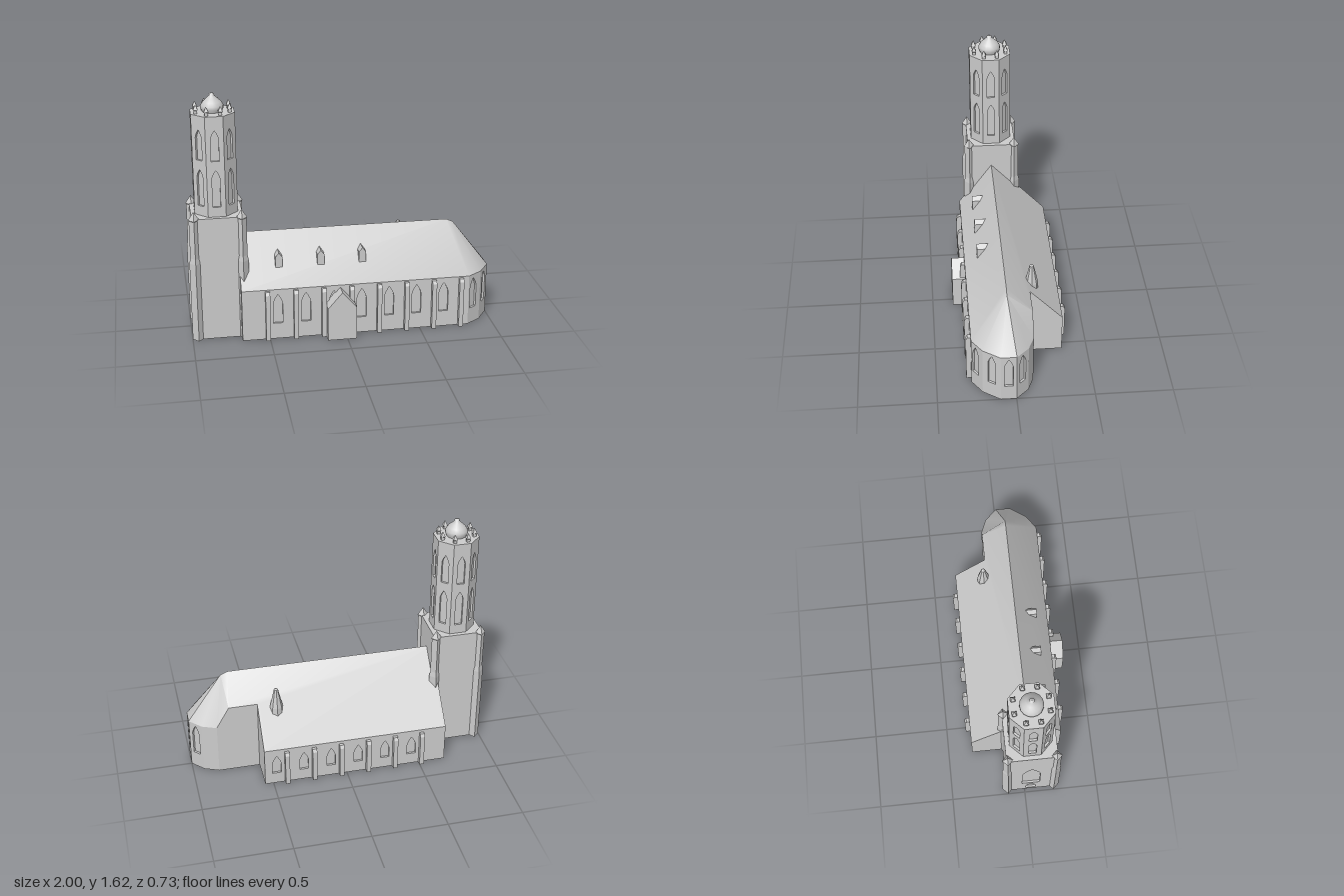
import * as THREE from 'three';
import { toCreasedNormals } from 'three/addons/utils/BufferGeometryUtils.js';

const stone = new THREE.MeshStandardMaterial({ color: 0xcccccc });
stone.name = 'pale stone';

function add(parent, name, geometry, x = 0, y = 0, z = 0, rotY = 0) {
  const mesh = new THREE.Mesh(geometry, stone);
  mesh.name = name;
  mesh.position.set(x, y, z);
  mesh.rotation.y = rotY;
  parent.add(mesh);
  return mesh;
}

function polygon(points) {
  return new THREE.Shape(points.map(([x, y]) => new THREE.Vector2(x, y)));
}

function extrude(shape, depth) {
  return new THREE.ExtrudeGeometry(shape, { depth, bevelEnabled: false, curveSegments: 4 });
}

// Faceted turned form from [radius, height] points
function faceted(profile, sides) {
  const g = new THREE.LatheGeometry(profile.map(([r, y]) => new THREE.Vector2(r, y)), sides).toNonIndexed();
  g.computeVertexNormals();
  return g;
}

// Pointed window opening
function lancet(x, width, y0, y1) {
  const w = width / 2, spring = y1 - width * 1.1;
  const p = new THREE.Path();
  p.moveTo(x - w, y0);
  p.lineTo(x + w, y0);
  p.lineTo(x + w, spring);
  p.quadraticCurveTo(x + w * 0.85, spring + width * 0.5, x, y1);
  p.quadraticCurveTo(x - w * 0.85, spring + width * 0.5, x - w, spring);
  p.closePath();
  return p;
}

// Wall from a to b ([x, z, top]) with recessed windows [along, width, y0, y1]
function wall(parent, name, a, b, base, windows = []) {
  const thick = 0.016;
  const dx = b[0] - a[0], dz = b[1] - a[1], len = Math.hypot(dx, dz);
  const g = new THREE.Group();
  g.name = name;
  g.position.set(a[0], 0, a[1]);
  g.rotation.y = Math.atan2(-dz, dx);
  const shape = polygon([[0, base], [len, base], [len, b[2]], [0, a[2]]]);
  for (const [x, w, y0, y1] of windows) {
    shape.holes.push(lancet(x, w, y0, y1));
    add(g, 'windowRecess', new THREE.PlaneGeometry(w + 0.004, y1 - y0 + 0.004), x, (y0 + y1) / 2, -thick + 0.002);
  }
  add(g, 'wallPanel', extrude(shape, thick), 0, 0, -thick);
  parent.add(g);
}

// Plan of the church, [x, z, wall top], anticlockwise from the front west corner
const plan = [
  [-0.68, 0.275, 0.35], [0.83, 0.275, 0.35], [0.925, 0.21, 0.35], [1, 0.1, 0.35], [1, 0, 0.35],
  [0.925, -0.08, 0.35], [0.83, -0.12, 0.35], [0.745, -0.12, 0.497], [0.555, -0.12, 0.497],
  [0.555, -0.335, 0.265], [-0.68, -0.335, 0.265], [-0.68, 0.045, 0.675],
];
const BAY = 0.184;

function buildNave() {
  const nave = new THREE.Group();
  nave.name = 'nave';

  // Walls and windows
  const front = [], back = [];
  for (let i = 0; i < 7; i++) front.push([0.235 + i * BAY, 0.062, 0.11, 0.315]);
  for (let i = 0; i < 6; i++) back.push([0.08 + i * BAY, 0.06, 0.08, 0.215]);
  const openings = { 0: front, 1: [[0.045, 0.06, 0.11, 0.325]], 9: back };
  for (const [i, mid] of [[2, 0.067], [3, 0.05], [4, 0.055]]) openings[i] = [[mid, 0.055, 0.11, 0.33]];
  plan.forEach((p, i) => wall(nave, 'churchWall', p, plan[(i + 1) % plan.length], 0, openings[i]));

  // Roof over nave, aisle and rounded east end
  const P = plan.map(([x, z, y]) => [x, y, z]);
  const ridge = P[11], ridgeEnd = [0.72, 0.675, 0.045], apex = [0.765, 0.655, 0.045];
  const faces = [[P[0], P[1], ridgeEnd, ridge], [P[1], apex, ridgeEnd], [P[7], ridgeEnd, apex],
    [ridge, ridgeEnd, P[7], P[8], P[9], P[10]]];
  for (let i = 1; i < 7; i++) faces.push([P[i], P[i + 1], apex]);
  const verts = [];
  for (const f of faces)
    for (let i = 1; i < f.length - 1; i++) verts.push(...f[0], ...f[i], ...f[i + 1]);
  const roof = new THREE.BufferGeometry();
  roof.setAttribute('position', new THREE.Float32BufferAttribute(verts, 3));
  roof.computeVertexNormals();
  add(nave, 'roof', toCreasedNormals(roof, 0.6));

  // Floor
  add(nave, 'floor', new THREE.ShapeGeometry(polygon(plan))).rotation.x = Math.PI / 2;

  // Buttresses along both sides
  const buttress = (h) => extrude(polygon([[-0.01, 0], [0.032, 0], [0.032, h - 0.02], [0.02, h], [-0.01, h]]), 0.03);
  for (let i = 0; i < 8; i++) {
    const x = -0.513 + i * BAY;
    add(nave, 'frontButtress', buttress(0.342), x + 0.015, 0, 0.275, -Math.PI / 2);
    if (i < 6) add(nave, 'backButtress', buttress(0.245), x - 0.015, 0, -0.335, Math.PI / 2);
  }

  // Gabled porch and dormers
  const gable = (w, y0, eave, top, depth) =>
    extrude(polygon([[-w, y0], [w, y0], [w, eave], [0, top], [-w, eave]]), depth);
  add(nave, 'porch', gable(0.095, 0, 0.225, 0.335, 0.1), -0.035, 0, 0.262);
  for (const x of [-0.425, -0.15, 0.125]) add(nave, 'dormer', gable(0.023, 0.47, 0.54, 0.57, 0.1), x, 0, 0.095);

  // Small roof turret
  add(nave, 'roofTurret', faceted([[0.045, 0.42], [0.043, 0.48], [0.014, 0.61], [0, 0.615]], 8), 0.432, 0, -0.14);
  return nave;
}

function buildTower() {
  const tower = new THREE.Group();
  tower.name = 'tower';
  tower.position.set(-0.81, 0, 0.042);

  // Square lower stage, with door and great window on the west
  const h = 0.165, top = 0.84;
  const c = [[-h, h, top], [h, h, top], [h, -h, top], [-h, -h, top]];
  const west = [[h, 0.07, 0.03, 0.15], [h, 0.12, 0.175, 0.56]];
  c.forEach((p, i) => wall(tower, 'lowerTowerWall', p, c[(i + 1) % 4], 0, i === 3 ? west : []));
  add(tower, 'lowerTowerTop', new THREE.BoxGeometry(2 * h - 0.004, 0.03, 2 * h - 0.004), 0, top - 0.015, 0);
  add(tower, 'lowerTowerFloor', new THREE.BoxGeometry(2 * h - 0.004, 0.02, 2 * h - 0.004), 0, 0.01, 0);

  // Corner buttresses ending in pinnacles
  const pier = [[0, 0], [0.038, 0], [0.038, 0.54], [0.031, 0.575], [0.031, 0.83], [0.036, 0.835], [0, 0.89]];
  for (const sx of [-1, 1])
    for (const sz of [-1, 1]) add(tower, 'cornerPinnacle', faceted(pier, 4), sx * 0.152, 0, sz * 0.157);

  // Octagonal lantern with two tiers of windows
  const R = 0.149, side = 2 * R * Math.sin(Math.PI / 8), roofY = 1.5;
  const corner = (i, r) => {
    const t = (i - 0.5) * Math.PI / 4;
    return [r * Math.sin(t), r * Math.cos(t), roofY];
  };
  const tiers = [[side / 2, 0.05, 0.905, 1.15], [side / 2, 0.05, 1.21, 1.41]];
  for (let i = 0; i < 8; i++) {
    wall(tower, 'lanternWall', corner(i, R), corner(i + 1, R), top - 0.01, tiers);
    const [x, z] = corner(i, 0.115);
    add(tower, 'lanternPinnacle',
      faceted([[0.015, 1.49], [0.015, 1.52], [0.021, 1.524], [0, 1.558]], 4), x, 0, z, Math.PI / 4);
  }
  add(tower, 'lanternTop', new THREE.CylinderGeometry(R * 0.98, R * 0.98, 0.03, 8, 1, false, Math.PI / 8), 0, roofY - 0.015, 0);

  // Onion dome
  const dome = [[0.062, 1.495], [0.073, 1.52], [0.072, 1.54], [0.058, 1.562], [0.035, 1.583], [0.016, 1.6], [0.016, 1.612], [0, 1.617]];
  add(tower, 'dome', new THREE.LatheGeometry(dome.map(([r, y]) => new THREE.Vector2(r, y)), 16));
  return tower;
}

export function createModel() {
  const church = new THREE.Group();
  church.name = 'church';
  church.add(buildNave(), buildTower());
  return church;
}
